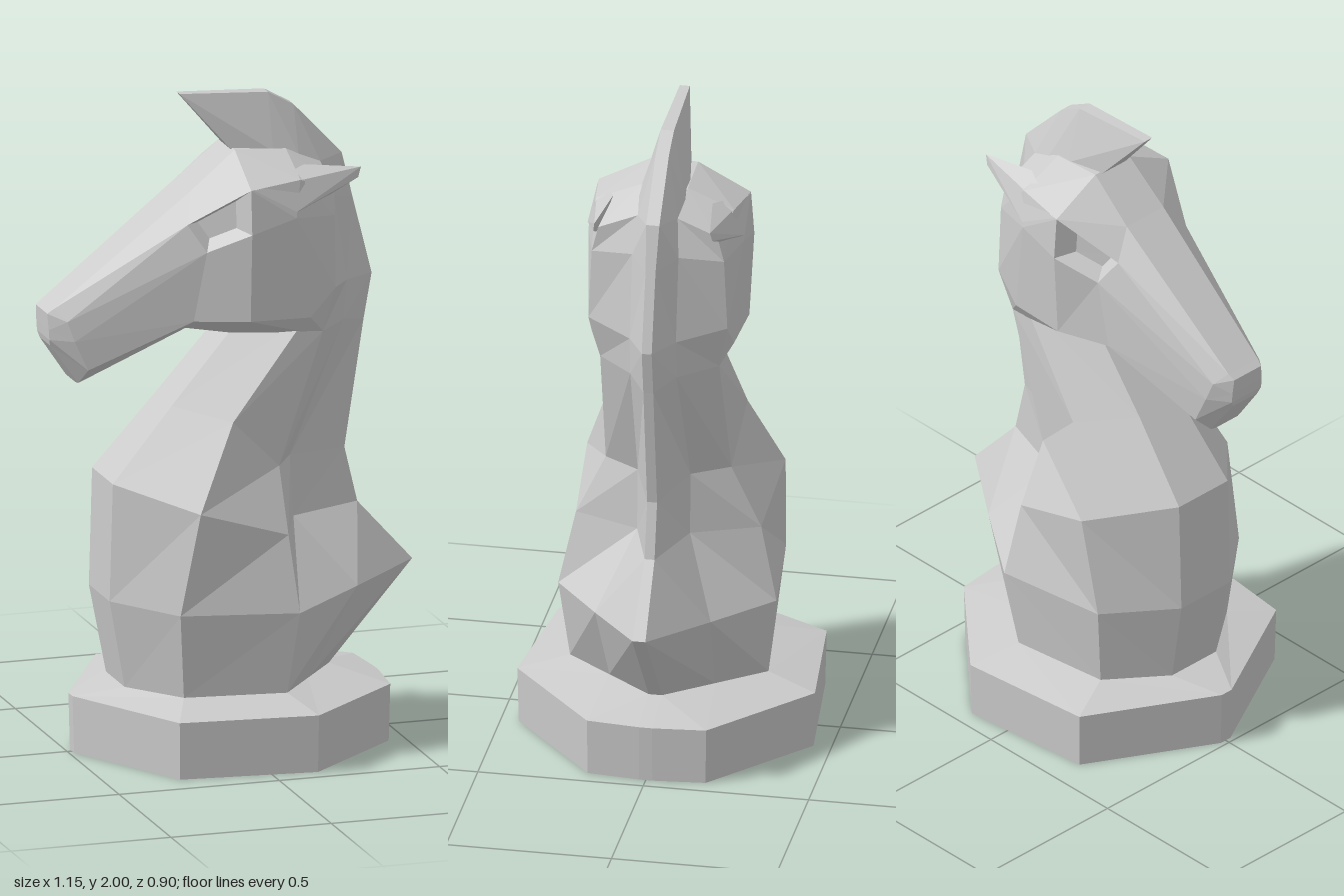
import * as THREE from 'three';
import { ConvexGeometry } from 'three/addons/geometries/ConvexGeometry.js';

const material = new THREE.MeshStandardMaterial({ color: 0xcccccc, flatShading: true, side: THREE.DoubleSide });
const mirror = ([x, y, z]) => [x, y, -z];

// Collects polygons, each one paired with its mirror image across z = 0
class Shell {
  constructor() { this.tris = []; }
  quad(a, b, c, d) { this.tris.push(a, b, c, a, c, d); }
  panel(a, b, c, d) {
    this.quad(a, b, c, d);
    this.tris.push(...[a, c, b, a, d, c].map(mirror));
  }
  // Joins half cross-sections; bridges the two halves at the first and last point
  loft(rows, skip = () => false) {
    for (let i = 0; i < rows.length - 1; i++) {
      const p = rows[i], q = rows[i + 1], n = p.length - 1;
      for (let j = 0; j < n; j++) if (!skip(i, j)) this.panel(p[j], p[j + 1], q[j + 1], q[j]);
      this.quad(p[n], mirror(p[n]), mirror(q[n]), q[n]);
      this.quad(mirror(p[0]), p[0], q[0], mirror(q[0]));
    }
    return this;
  }
  cap(row) {
    for (let j = 0; j < row.length - 1; j++) this.quad(row[j + 1], row[j], mirror(row[j]), mirror(row[j + 1]));
    return this;
  }
  mesh(name) {
    const g = new THREE.BufferGeometry();
    g.setAttribute('position', new THREE.Float32BufferAttribute(this.tris.flat(), 3));
    g.computeVertexNormals();
    const m = new THREE.Mesh(g, material);
    m.name = name;
    return m;
  }
}

export function createModel() {
  const group = new THREE.Group();
  group.name = 'chessKnight';

  // Half sections: chest, shoulder, flank, mane edge, spine
  const foot = [[-0.35, 0.21, 0.09], [-0.22, 0.21, 0.26], [0.09, 0.21, 0.3], [0.2, 0.21, 0.16], [0.31, 0.21, 0.02]];
  const neckTop = [[0.0, 1.29, 0.07], [0.19, 1.33, 0.18], [0.24, 1.28, 0.18], [0.34, 1.28, 0.07], [0.42, 1.26, 0.015]];
  const body = [
    foot,
    [[-0.4, 0.48, 0.1], [-0.24, 0.47, 0.29], [0.12, 0.46, 0.33], [0.35, 0.485, 0.175], [0.57, 0.51, 0.02]],
    [[-0.39, 0.84, 0.1], [-0.18, 0.78, 0.3], [0.1, 0.69, 0.28], [0.18, 0.69, 0.08], [0.4, 0.7, 0.015]],
    [[-0.2, 1.06, 0.08], [-0.05, 1.03, 0.21], [0.1, 0.88, 0.19], [0.17, 0.88, 0.08], [0.36, 0.87, 0.015]],
    neckTop,
  ];
  group.add(new Shell().loft(body).mesh('body'));

  // Hollow plinth, open underneath
  const outline = [[-0.49, 0.02], [-0.28, 0.405], [0.14, 0.45], [0.45, 0.18], [0.465, 0.02]];
  const ring = (y, s) => outline.map(([x, z]) => [x * s, y, z * s]);
  group.add(new Shell().loft([ring(0, 0.99), ring(0.175, 1), foot]).mesh('base'));

  // Mane behind the head, then the crest over it
  const nape = [[0.27, 1.72, 0.18], [0.27, 1.77, 0.06], [0.35, 1.78, 0.02]];
  const mane = [
    neckTop.slice(2),
    [[0.27, 1.42, 0.21], [0.35, 1.4, 0.07], [0.445, 1.4, 0.015]],
    [[0.27, 1.64, 0.2], [0.31, 1.66, 0.07], [0.385, 1.64, 0.015]],
    nape,
  ];
  group.add(new Shell().loft(mane).mesh('mane'));
  const crest = [
    nape.slice(1),
    [[0.2, 1.8, 0.07], [0.2, 1.94, 0.02]],
    [[0.12, 1.815, 0.07], [0.12, 1.985, 0.02]],
    [[0.0, 1.82, 0.05], [-0.155, 2.0, 0.015]],
  ];
  group.add(new Shell().loft(crest).cap(crest[3]).mesh('crest'));

  // Head from nose to nape: forehead, brow, cheek, jaw, throat
  const head = [
    [[-0.58, 1.37, 0.055], [-0.577, 1.32, 0.06], [-0.575, 1.29, 0.06], [-0.57, 1.27, 0.05], [-0.49, 1.15, 0.045]],
    [[-0.56, 1.385, 0.06], [-0.53, 1.35, 0.095], [-0.51, 1.29, 0.105], [-0.47, 1.2, 0.11], [-0.485, 1.15, 0.06]],
    [[-0.14, 1.715, 0.075], [-0.17, 1.63, 0.14], [-0.12, 1.55, 0.175], [-0.16, 1.34, 0.17], [-0.16, 1.3, 0.09]],
    [[0, 1.83, 0.07], [0, 1.745, 0.23], [0, 1.61, 0.24], [0, 1.34, 0.225], [-0.03, 1.28, 0.11]],
    [[0.16, 1.82, 0.07], [0.16, 1.76, 0.21], [0.14, 1.65, 0.235], [0.19, 1.335, 0.215], [0.19, 1.28, 0.18]],
    [[0.27, 1.77, 0.06], [0.27, 1.72, 0.18], [0.27, 1.64, 0.2], [0.27, 1.42, 0.21], [0.24, 1.28, 0.18]],
  ];
  const headShell = new Shell().loft(head, (i, j) => i === 2 && j === 1).cap(head[0]);

  // Eye sockets: the open brow panel sinks to a smaller quad
  const rim = [head[2][1], head[2][2], head[3][2], head[3][1]];
  const centre = [0, 1, 2].map(k => rim.reduce((s, p) => s + p[k] / 4, 0));
  const sunk = rim.map(p => p.map((v, k) => centre[k] + (v - centre[k]) * 0.6 - (k === 2 ? 0.045 : 0)));
  rim.forEach((p, i) => {
    const n = (i + 1) % 4;
    headShell.panel(p, rim[n], sunk[n], sunk[i]);
  });
  headShell.panel(...sunk);
  group.add(headShell.mesh('head'));

  // Swept-back ears
  const ear = [[0.01, 1.745, 0.23], [0.14, 1.67, 0.237], [0.2, 1.67, 0.19], [0.19, 1.79, 0.15], [0.36, 1.775, 0.175], [0.35, 1.745, 0.18]];
  for (const [name, side] of [['leftEar', ear], ['rightEar', ear.map(mirror)]]) {
    const m = new THREE.Mesh(new ConvexGeometry(side.map(p => new THREE.Vector3(...p))), material);
    m.name = name;
    group.add(m);
  }
  return group;
}
